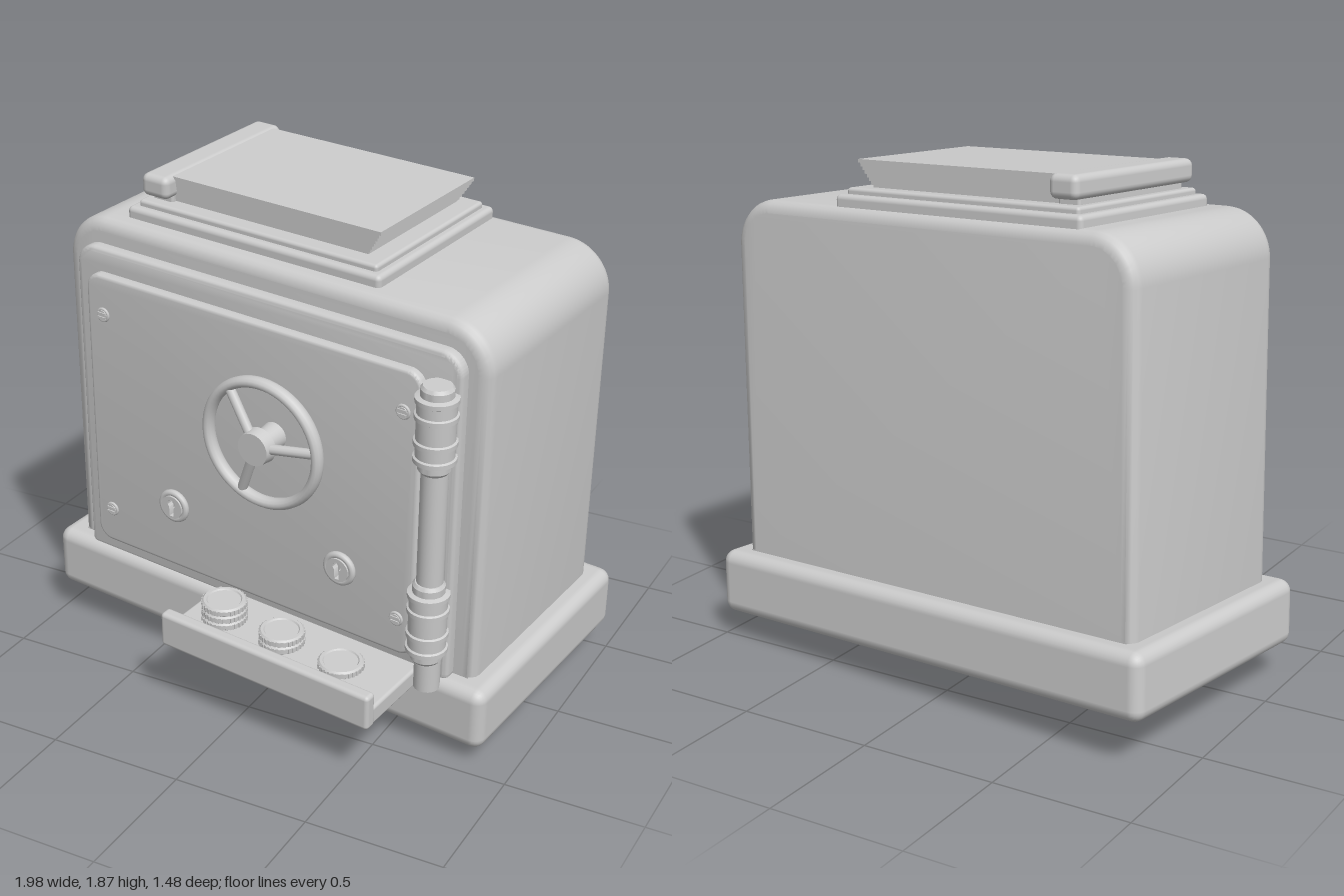
import * as THREE from 'three';
import { toCreasedNormals } from 'three/addons/utils/BufferGeometryUtils.js';
import { RoundedBoxGeometry } from 'three/addons/geometries/RoundedBoxGeometry.js';

const grey = new THREE.MeshStandardMaterial({ color: 0xcccccc });

export function createModel() {
  const model = new THREE.Group();
  model.name = 'safe';
  // the whole safe stands slightly turned and tipped
  const safe = new THREE.Group();
  safe.name = 'tiltedSafe';
  safe.rotation.set(0.045, -0.113, -0.041, 'YXZ');
  safe.position.set(0, 0.12, -0.14);
  model.add(safe);

  const add = (name, geometry, x = 0, y = 0, z = 0, parent = safe) => {
    const mesh = new THREE.Mesh(geometry, grey);
    mesh.name = name;
    mesh.position.set(x, y, z);
    parent.add(mesh);
    return mesh;
  };

  // rounded box given by its limits
  const box = (name, [x0, x1], [y0, y1], [z0, z1], r) =>
    add(name, new RoundedBoxGeometry(x1 - x0, y1 - y0, z1 - z0, 3, r),
      (x0 + x1) / 2, (y0 + y1) / 2, (z0 + z1) / 2);

  // rectangle with separate corner radii for bottom and top
  const rect = (x0, x1, y0, y1, rb, rt) => {
    const s = new THREE.Shape();
    s.moveTo(x0 + rb, y0);
    s.lineTo(x1 - rb, y0);
    s.absarc(x1 - rb, y0 + rb, rb, -Math.PI / 2, 0);
    s.lineTo(x1, y1 - rt);
    s.absarc(x1 - rt, y1 - rt, rt, 0, Math.PI / 2);
    s.lineTo(x0 + rt, y1);
    s.absarc(x0 + rt, y1 - rt, rt, Math.PI / 2, Math.PI);
    s.lineTo(x0, y0 + rb);
    s.absarc(x0 + rb, y0 + rb, rb, Math.PI, Math.PI * 1.5);
    return s;
  };

  // bevelled slab filling z0..z1
  const slab = (shape, z0, z1, bevel) => {
    const g = new THREE.ExtrudeGeometry(shape, {
      depth: z1 - z0 - 2 * bevel, bevelSize: bevel, bevelThickness: bevel,
      bevelOffset: -bevel, bevelSegments: 4, curveSegments: 12,
    });
    g.translate(0, 0, z0 + bevel);
    return toCreasedNormals(g, 0.6);
  };

  // cylinder pointing along z
  const disc = (r0, r1, h, n = 32) => new THREE.CylinderGeometry(r1, r0, h, n).rotateX(Math.PI / 2);

  // plinth, feet and body
  box('base', [-0.945, 0.945], [0, 0.24], [-0.495, 0.495], 0.045);
  for (const side of [-1, 1]) {
    const foot = box('foot', [-0.15, 0.15], [-0.07, 0.03], [-0.23, 0.29], 0.025);
    foot.position.x = side * 0.67;
  }
  add('body', slab(rect(-0.87, 0.87, 0.2, 1.56, 0.02, 0.17), -0.425, 0.425, 0.045));

  // door frame and door
  add('doorFrame', slab(rect(-0.79, 0.79, 0.22, 1.47, 0.03, 0.08), 0.4, 0.468, 0.018));
  add('door', slab(rect(-0.725, 0.665, 0.29, 1.385, 0.06, 0.06), 0.45, 0.5, 0.014));

  // slotted screws in the door corners
  for (const [x, y] of [[-0.65, 1.235], [0.6, 1.235], [-0.65, 0.435], [0.6, 0.435]]) {
    add('screwRim', new THREE.TorusGeometry(0.022, 0.006, 8, 20), x, y, 0.502);
    const screw = add('screwHead', disc(0.021, 0.019, 0.014, 20), x, y, 0.503);
    for (const side of [-1, 1]) {
      add('screwSlotEdge', new THREE.BoxGeometry(0.034, 0.008, 0.006), 0, side * 0.008, 0.008, screw);
    }
  }

  // keyhole plates
  for (const x of [-0.35, 0.37]) {
    const plate = new THREE.Shape().absarc(0, 0, 0.045, 0, Math.PI * 2);
    const hole = new THREE.Path();
    hole.moveTo(-0.009, -0.036);
    hole.lineTo(0.009, -0.036);
    hole.lineTo(0.009, 0.004);
    hole.absarc(0, 0.014, 0.017, -0.9, Math.PI + 0.9);
    hole.lineTo(-0.009, -0.036);
    plate.holes.push(hole);
    add('keyholePlate', toCreasedNormals(new THREE.ExtrudeGeometry(plate,
      { depth: 0.03, bevelEnabled: false, curveSegments: 20 }), 0.6), x, 0.555, 0.495);
    add('keyholeRing', new THREE.TorusGeometry(0.052, 0.013, 10, 36), x, 0.555, 0.508);
  }

  // hand wheel
  const wheel = new THREE.Group();
  wheel.name = 'handWheel';
  wheel.position.set(0.09, 0.985, 0.5);
  safe.add(wheel);
  add('wheelRim', new THREE.TorusGeometry(0.226, 0.02, 12, 64).scale(1, 1, 1.3), 0, 0, 0.07, wheel);
  add('wheelShaft', disc(0.05, 0.04, 0.1), 0, 0, 0.04, wheel);
  add('wheelHub', disc(0.066, 0.06, 0.045), 0, 0, 0.105, wheel);
  for (let i = 0; i < 3; i++) {
    const a = 0.13 + i * Math.PI * 2 / 3;
    const spoke = new THREE.LineCurve3(
      new THREE.Vector3(Math.cos(a) * 0.04, Math.sin(a) * 0.04, 0.1),
      new THREE.Vector3(Math.cos(a) * 0.225, Math.sin(a) * 0.225, 0.072));
    add('wheelSpoke', new THREE.TubeGeometry(spoke, 1, 0.018, 12), 0, 0, 0, wheel);
  }

  // hinge rod with two banded barrels
  add('hingeRod', new THREE.CylinderGeometry(0.046, 0.046, 1.0, 28), 0.73, 0.82, 0.508);
  add('hingeRodFoot', new THREE.CylinderGeometry(0.046, 0.046, 0.13, 28), 0.73, 0.275, 0.5);
  const half = [[0.066, 0], [0.066, 0.035], [0.073, 0.039], [0.073, 0.055], [0.066, 0.059],
    [0.066, 0.095], [0.073, 0.099], [0.073, 0.115], [0.056, 0.12], [0.056, 0.145], [0.048, 0.156], [0, 0.156]];
  const profile = [...half.slice(1).reverse().map(([r, y]) => [r, -y]), ...half]
    .map(([r, y]) => new THREE.Vector2(r, y));
  const barrel = toCreasedNormals(new THREE.LatheGeometry(profile, 36), 0.5);
  for (const y of [0.485, 1.22]) add('hingeBarrel', barrel, 0.73, y, 0.512);

  // coin tray with raised front lip
  box('trayFloor', [-0.185, 0.68], [0.18, 0.25], [0.44, 0.79], 0.012);
  box('trayLip', [-0.19, 0.685], [0.18, 0.315], [0.755, 0.805], 0.015);

  // coin stacks, getting shorter to the side
  [[-0.04, 3], [0.21, 2], [0.46, 1]].forEach(([x, count]) => {
    for (let i = 0; i < count; i++) {
      const coin = add('coin', toCreasedNormals(new THREE.LatheGeometry(
        [[0, 0], [0.074, 0], [0.08, 0.005], [0.08, 0.023], [0.074, 0.029], [0.064, 0.029], [0.06, 0.024], [0, 0.024]]
          .map(([r, y]) => new THREE.Vector2(r, y)), 36), 0.5), x, 0.249 + i * 0.029, 0.625);
      for (let k = 0; k < 30; k++) {
        const a = k * Math.PI / 15;
        const ridge = add('coinRidge', new THREE.BoxGeometry(0.006, 0.018, 0.007),
          Math.cos(a) * 0.08, 0.014, Math.sin(a) * 0.08, coin);
        ridge.rotation.y = -a;
      }
    }
  });

  // stepped plate on the roof
  box('roofPlate', [-0.645, 0.405], [1.54, 1.6], [-0.395, 0.355], 0.018);
  box('roofPlateStep', [-0.615, 0.375], [1.58, 1.622], [-0.365, 0.325], 0.012);

  // stack of sheets, widening upwards, held by a bar along one side
  const sheets = 8;
  for (let i = 0; i < sheets; i++) {
    const t = i / (sheets - 1);
    const x1 = 0.3 + 0.055 * t, d = 0.285 + 0.015 * t;
    add('sheet', new THREE.BoxGeometry(x1 + 0.56, 0.0125, d * 2),
      (x1 - 0.56) / 2, 1.624 + i * 0.0125, -0.025);
  }
  box('bindingBar', [-0.605, -0.49], [1.64, 1.722], [-0.365, 0.325], 0.025);
  box('bindingSpine', [-0.585, -0.5], [1.6, 1.66], [-0.32, 0.28], 0.01);

  return model;
}
